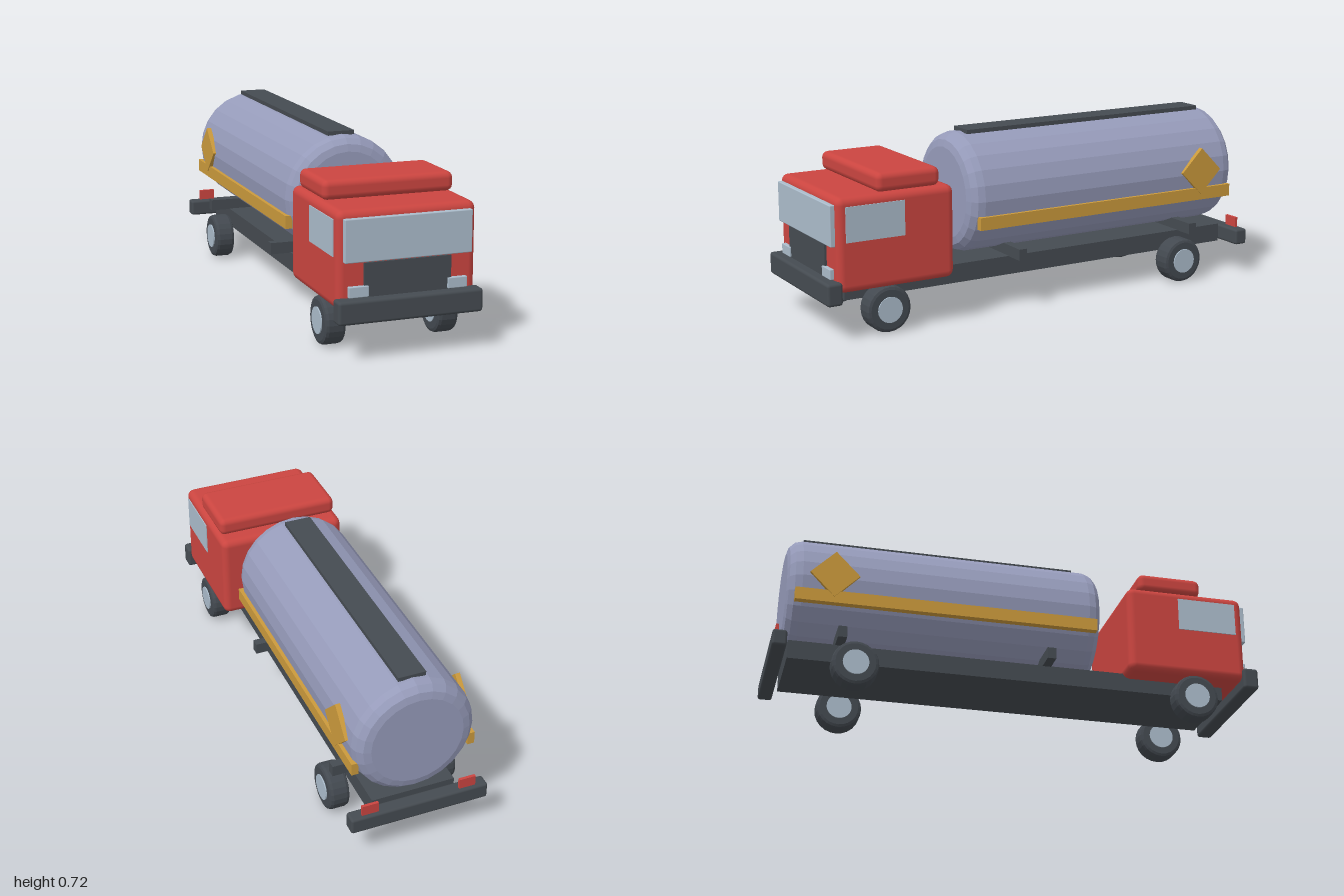
import * as THREE from 'three';
import { RoundedBoxGeometry } from 'three/addons/geometries/RoundedBoxGeometry.js';

const paint = (name, color, flat = false) => {
  const m = new THREE.MeshStandardMaterial({ color, flatShading: flat });
  m.name = name;
  return m;
};

// Closed drum along y with rounded rims, ready to be turned onto its axle
function drum(radius, length, bevel, sides, steps) {
  const pts = [new THREE.Vector2(0, -length / 2)];
  for (const end of [-1, 1]) {
    for (let i = 0; i <= steps; i++) {
      const a = (end < 0 ? i - steps : i) / steps * Math.PI / 2;
      pts.push(new THREE.Vector2(
        radius - bevel + bevel * Math.cos(a),
        end * (length / 2 - bevel) + bevel * Math.sin(a)));
    }
  }
  pts.push(new THREE.Vector2(0, length / 2));
  return new THREE.LatheGeometry(pts, sides);
}

export function createModel() {
  const truck = new THREE.Group();
  truck.name = 'tankerTruck';

  const red = paint('cab red', 0xcb4540);
  const dark = paint('dark grey', 0x454b51);
  const rubber = paint('tyre grey', 0x434950, true);
  const steel = paint('tank steel', 0x969bba, true);
  const amber = paint('amber', 0xcb9a3c);
  const glass = paint('pale glass', 0xabbccb);

  const add = (name, geometry, material, x = 0, y = 0, z = 0) => {
    const mesh = new THREE.Mesh(geometry, material);
    mesh.name = name;
    mesh.position.set(x, y, z);
    truck.add(mesh);
    return mesh;
  };
  // Box given by its limits on each axis, optionally rounded
  const box = (name, material, [x0, x1], [y0, y1], [z0, z1], r = 0) => {
    const size = [x1 - x0, y1 - y0, z1 - z0];
    const g = r ? new RoundedBoxGeometry(...size, 2, r) : new THREE.BoxGeometry(...size);
    return add(name, g, material, (x0 + x1) / 2, (y0 + y1) / 2, (z0 + z1) / 2);
  };
  // Same box on both sides, mirrored in x
  const pair = (name, material, [x0, x1], y, z, r) => {
    box(name + 'Left', material, [x0, x1], y, z, r);
    box(name + 'Right', material, [-x1, -x0], y, z, r);
  };

  // Chassis and bumpers
  box('chassis', dark, [-0.172, 0.172], [0.128, 0.205], [-0.93, 0.88]);
  box('frontBumper', dark, [-0.287, 0.287], [0.145, 0.235], [0.935, 1], 0.012);
  box('rearBumper', dark, [-0.284, 0.284], [0.13, 0.197], [-1, -0.942], 0.01);
  pair('tailLight', red, [0.168, 0.236], [0.19, 0.24], [-0.985, -0.973]);

  // Cab with roof fairing
  box('cab', red, [-0.276, 0.276], [0.185, 0.558], [0.448, 0.95], 0.03);
  box('roofFairing', red, [-0.264, 0.264], [0.558, 0.634], [0.503, 0.775], 0.025);
  box('windshield', glass, [-0.252, 0.252], [0.368, 0.531], [0.945, 0.968], 0.004);
  pair('sideWindow', glass, [0.272, 0.28], [0.385, 0.524], [0.667, 0.915]);
  box('grille', dark, [-0.172, 0.172], [0.228, 0.363], [0.942, 0.959]);
  pair('headlight', glass, [0.157, 0.235], [0.237, 0.278], [0.945, 0.966], 0.003);

  // Tank on its cross supports
  add('tank', drum(0.247, 1.3, 0.058, 24, 3).rotateX(Math.PI / 2), steel, 0, 0.462, -0.3);
  box('walkway', dark, [-0.056, 0.056], [0.704, 0.721], [-0.88, 0.27]);
  for (const z of [0.125, -0.725]) {
    box('tankSupport', dark, [-0.256, 0.256], [0.203, 0.25], [z - 0.018, z + 0.018]);
  }
  pair('sideStripe', amber, [0.225, 0.254], [0.35, 0.402], [-0.92, 0.32]);

  // Hazard diamonds
  for (const side of [-1, 1]) {
    const diamond = add('hazardDiamond', new THREE.BoxGeometry(0.02, 0.141, 0.141), amber,
      side * 0.247, 0.475, -0.765);
    diamond.rotation.x = Math.PI / 4;
  }

  // Wheels with hubs showing on both faces
  const tyre = drum(0.094, 0.083, 0.014, 24, 2).rotateZ(Math.PI / 2);
  const hub = new THREE.CylinderGeometry(0.052, 0.052, 0.091, 24).rotateZ(Math.PI / 2);
  for (const side of [-1, 1]) {
    for (const z of [0.733, -0.67]) {
      add('tyre', tyre, rubber, side * 0.229, 0.094, z);
      add('hub', hub, glass, side * 0.23, 0.094, z);
    }
  }
  return truck;
}
